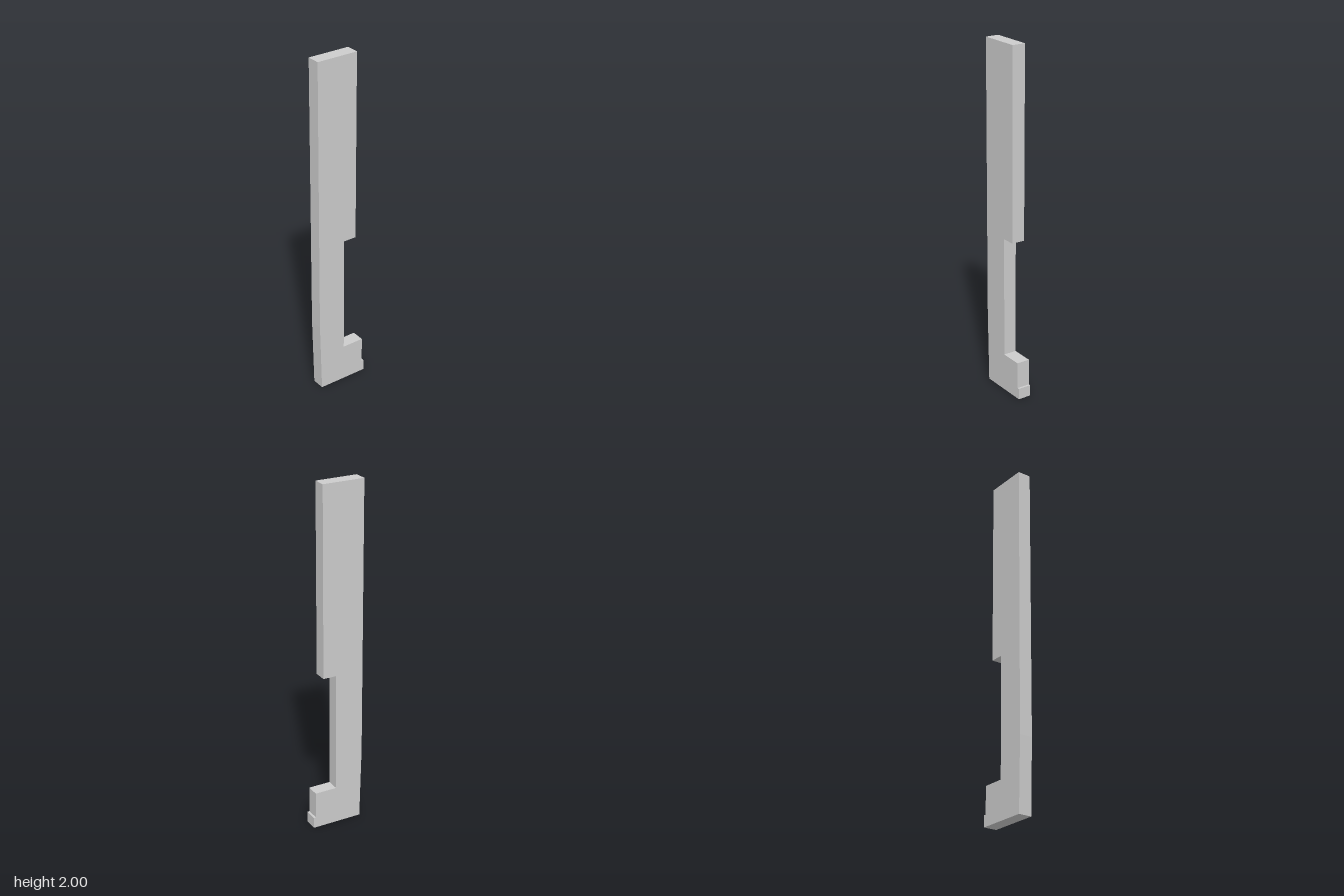
import * as THREE from 'three';

const DEPTH = 0.077;

export function createModel() {
  const group = new THREE.Group();
  group.name = 'notchedPost';

  // Side outline, counter-clockwise from the bottom left corner
  const outline = [
    [-0.143, 0], [0.154, 0],           // base
    [0.154, 0.065], [0.141, 0.065],    // small toe step
    [0.141, 0.22], [0.011, 0.22],      // foot block
    [0.011, 0.918], [0.089, 0.918],    // long notch
    [0.089, 2], [-0.154, 2],           // upper board
    [-0.154, 0.42],                    // start of the slight taper
  ].map(([x, y]) => new THREE.Vector2(x, y));

  // Flat board of constant thickness, centred on z
  const geometry = new THREE.ExtrudeGeometry(new THREE.Shape(outline), {
    depth: DEPTH,
    bevelEnabled: false,
  });
  geometry.translate(0, 0, -DEPTH / 2);

  const board = new THREE.Mesh(
    geometry,
    new THREE.MeshStandardMaterial({ color: 0xcccccc, flatShading: true })
  );
  board.name = 'board';
  group.add(board);
  return group;
}
